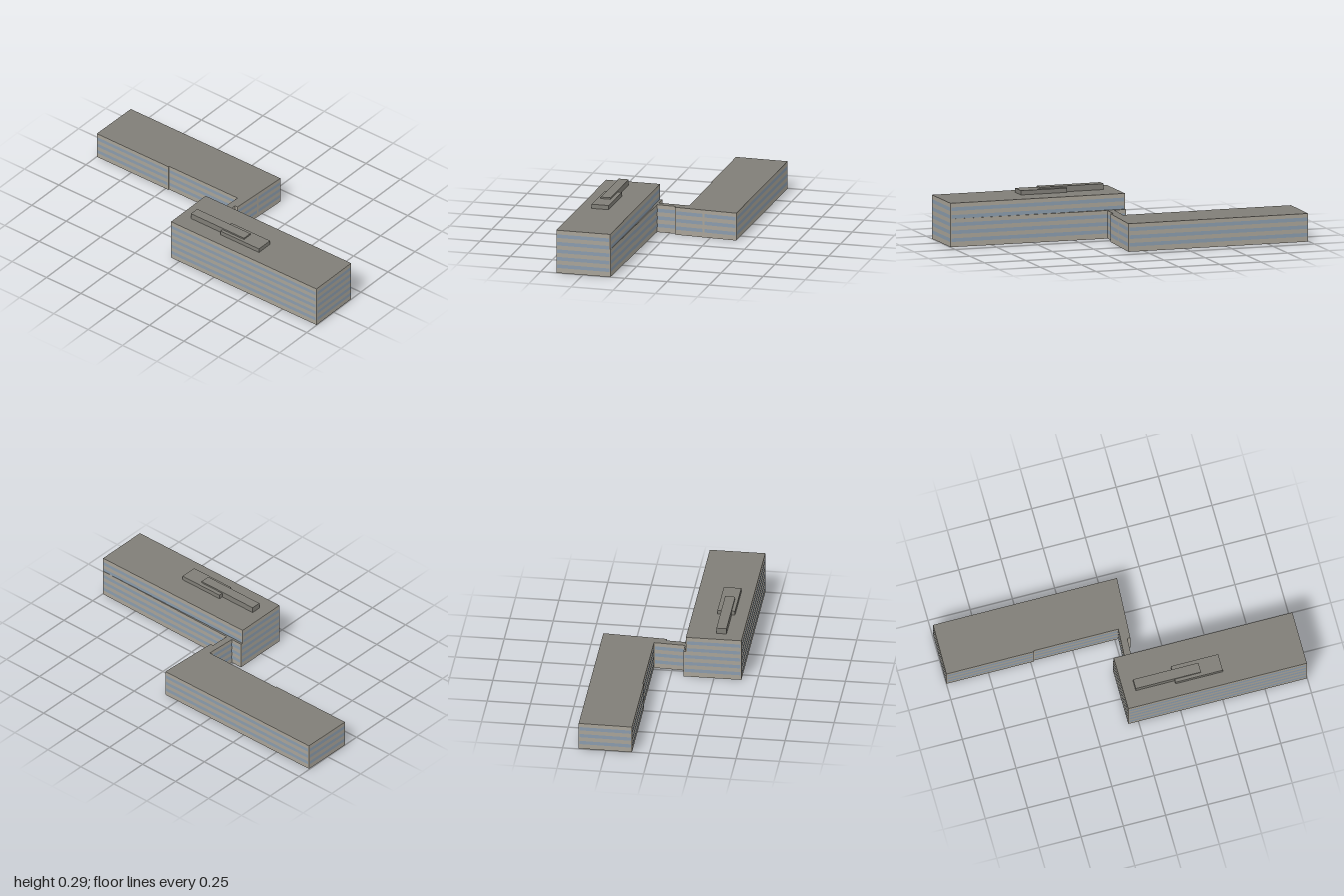
import * as THREE from 'three';

const FLOOR = 0.0447, BAND_LOW = 0.03, BAND_HEIGHT = 0.021;

export function createModel() {
  const model = new THREE.Group();
  model.name = 'officeBuilding';

  const paint = (name, color, side = THREE.DoubleSide) => {
    const m = new THREE.MeshStandardMaterial({ color, side });
    m.name = name;
    return m;
  };
  const wallMat = paint('warm grey wall', 0xa8a398);
  const windowMat = paint('blue grey window', 0x8a9bac);
  const roofMat = paint('dark grey roof', 0x807e77);

  const add = (parent, name, geometry, material) => {
    const mesh = new THREE.Mesh(geometry, material);
    mesh.name = name;
    parent.add(mesh);
    return mesh;
  };

  // Upright rectangle along the line a-b, shifted sideways by offset
  const upright = (a, b, y0, y1, inset = 0, offset = 0) => {
    const dx = b[0] - a[0], dz = b[1] - a[1], length = Math.hypot(dx, dz);
    const g = new THREE.PlaneGeometry(length - 2 * inset, y1 - y0);
    g.rotateY(Math.atan2(-dz, dx));
    g.translate((a[0] + b[0]) / 2 - (dz / length) * offset, (y0 + y1) / 2,
      (a[1] + b[1]) / 2 + (dx / length) * offset);
    return g;
  };

  // Flat roof over an outline of [x, z] points
  const roof = (parent, name, outline, y) => {
    const shape = new THREE.Shape(outline.map(([x, z]) => new THREE.Vector2(x, -z)));
    const g = new THREE.ShapeGeometry(shape);
    g.rotateX(-Math.PI / 2);
    g.translate(0, y, 0);
    add(parent, name, g, roofMat);
  };

  // Hollow block with a window band on every floor; no bottom
  const block = (name, outline, y0, y1, floors, { plain = [], inner = [] } = {}) => {
    const group = new THREE.Group();
    group.name = name;
    outline.forEach((a, i) => {
      const b = outline[(i + 1) % outline.length];
      add(group, 'wall', upright(a, b, y0, y1), wallMat);
      if (plain.includes(i)) return;
      for (const f of floors) {
        const y = BAND_LOW + f * FLOOR;
        add(group, 'windowBand', upright(a, b, y, y + BAND_HEIGHT, 0.006, 0.0015), windowMat);
        if (inner.includes(i)) {
          add(group, 'innerWindowBand', upright(a, b, y, y + BAND_HEIGHT, 0.006, -0.0015), windowMat);
        }
      }
    });
    model.add(group);
    return group;
  };

  // Low wing with the narrow link to the tall wing
  const lowOutline = [
    [-1, -0.1], [-0.48, -0.1], [-0.48, -0.106], [0.02, -0.106], [0.01, 0.076],
    [0.05, 0.076], [0.055, -0.038], [0.073, -0.038], [0.083, -0.21],
    [0.094, -0.408], [-0.995, -0.408],
  ];
  const low = block('lowWing', lowOutline, 0, 0.163, [0, 1, 2], { plain: [1, 4, 6] });
  roof(low, 'lowRoof', lowOutline, 0.163);

  // Tall wing: lower storeys have a slightly slanted back wall
  const baseOutline = [[-0.06, 0.408], [0.998, 0.408], [0.998, 0.087], [-0.06, 0.074]];
  const upperOutline = [[-0.06, 0.408], [0.998, 0.408], [0.998, 0.088], [-0.06, 0.088]];
  const base = block('tallWingBase', baseOutline, 0, 0.163, [0, 1, 2], { inner: [3] });
  roof(base, 'backLedge', [baseOutline[3], upperOutline[3], upperOutline[2], baseOutline[2]], 0.163);
  const upper = block('tallWingUpper', upperOutline, 0.163, 0.254, [3, 4], { inner: [3] });
  roof(upper, 'tallRoof', upperOutline, 0.254);

  // Plant rooms on the tall roof
  const plantRoom = (name, x0, x1, z0, z1, top) => {
    const h = top - 0.254;
    add(model, name, new THREE.BoxGeometry(x1 - x0, h, z1 - z0), roofMat)
      .position.set((x0 + x1) / 2, 0.254 + h / 2, (z0 + z1) / 2);
  };
  plantRoom('longPlantRoom', 0.01, 0.396, 0.255, 0.313, 0.288);
  plantRoom('widePlantRoom', 0.24, 0.52, 0.231, 0.332, 0.279);

  return model;
}
